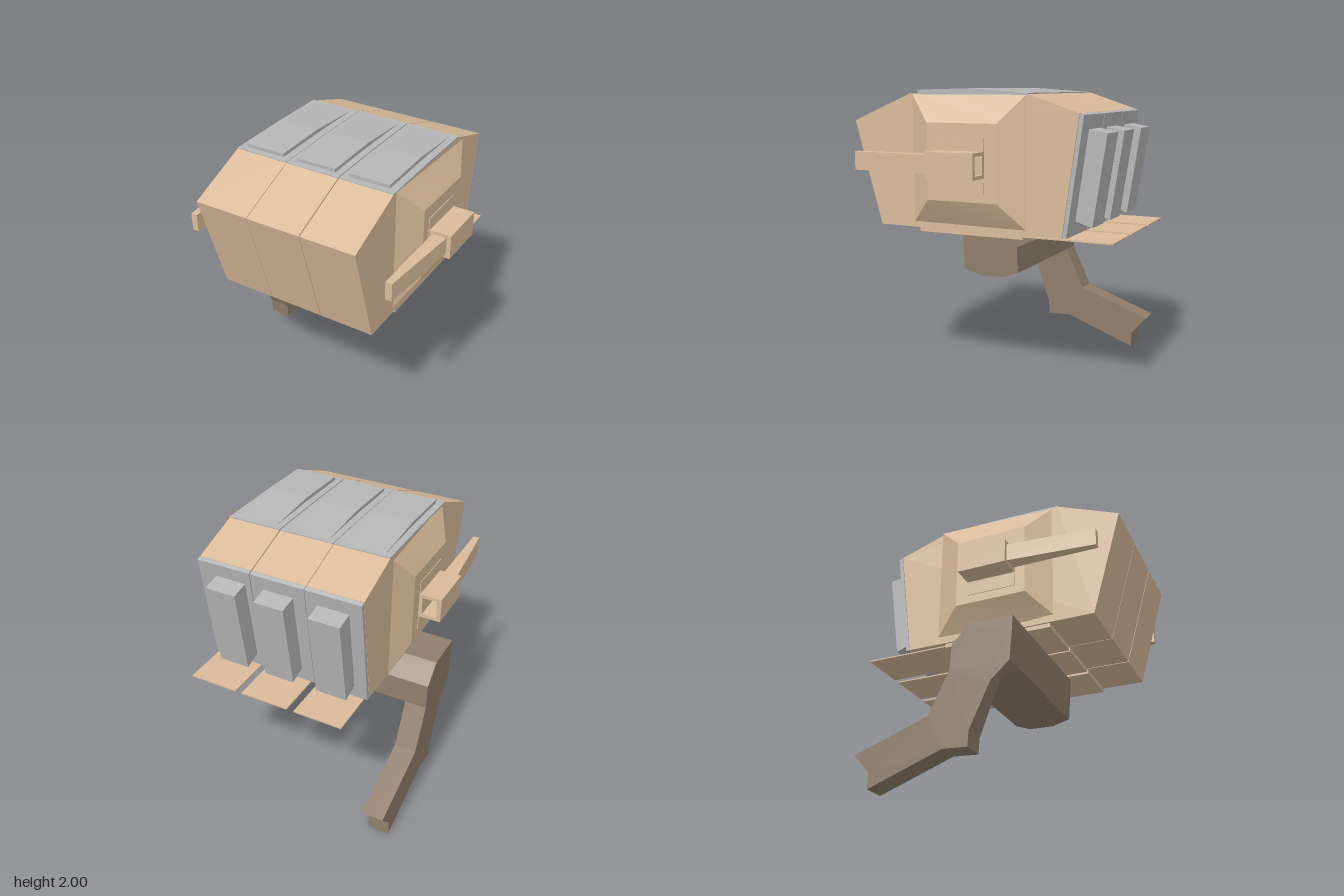
import * as THREE from 'three';

const tan = new THREE.MeshStandardMaterial({ color: 0xd9bb9a });
tan.name = 'tan hull';
const brown = new THREE.MeshStandardMaterial({ color: 0x8f7d6b });
brown.name = 'brown leg';
const grey = new THREE.MeshStandardMaterial({ color: 0xb6b6b6 });
grey.name = 'grey armour';

function add(parent, name, geometry, material) {
  const mesh = new THREE.Mesh(geometry, material);
  mesh.name = name;
  parent.add(mesh);
  return mesh;
}

// Side profile of [z, y] points, extruded from x0 to x1
function sideExtrude(points, x0, x1) {
  const shape = new THREE.Shape(points.map(([z, y]) => new THREE.Vector2(z, y)));
  const g = new THREE.ExtrudeGeometry(shape, { depth: x1 - x0, bevelEnabled: false });
  return g.rotateY(-Math.PI / 2).translate(x1, 0, 0);
}

function boxBetween(x0, x1, y0, y1, z0, z1) {
  return new THREE.BoxGeometry(x1 - x0, y1 - y0, z1 - z0)
    .translate((x0 + x1) / 2, (y0 + y1) / 2, (z0 + z1) / 2);
}

// Box whose corners (-1 or 1 on each axis) are moved by a rule
function shapedBox(rule) {
  const g = new THREE.BoxGeometry(2, 2, 2);
  const p = g.attributes.position;
  for (let i = 0; i < p.count; i++) p.setXYZ(i, ...rule(p.getX(i), p.getY(i), p.getZ(i)));
  g.computeVertexNormals();
  return g;
}

// One of the three hull segments with its armour
function hullSegment(x0, x1, ridge, vent, skid, flap) {
  const group = new THREE.Group();
  group.name = 'hullSegment';
  add(group, 'hull', sideExtrude([
    [0.75, 1.06], [0.95, 1.78], [0.515, 1.96], [-0.37, 1.965], [-0.715, 1.85], [-0.605, 1.06],
  ], x0, x1), tan);
  add(group, 'roofPlate', sideExtrude([
    [0.515, 1.955], [0.515, 1.966], [0.07, 1.974], [-0.37, 1.972], [-0.37, 1.96],
  ], x0, x1), grey);
  add(group, 'roofRidge', sideExtrude([
    [0.47, 1.96], [0.47, 1.99], [0.07, 2.0], [-0.37, 1.97], [-0.37, 1.962],
  ], ...ridge), grey);
  add(group, 'rearPlate', sideExtrude([
    [-0.718, 1.85], [-0.745, 1.84], [-0.635, 1.06], [-0.608, 1.06],
  ], x0, x1), grey);
  add(group, 'rearVent', sideExtrude([
    [-0.72, 1.75], [-0.855, 1.725], [-0.765, 1.12], [-0.64, 1.16],
  ], ...vent), grey);
  add(group, 'bellyPlate', boxBetween(...skid, 1.03, 1.062, -0.33, 0.44), tan);
  add(group, 'rearFlap', boxBetween(...flap, 1.045, 1.055, -0.945, -0.33), tan);
  return group;
}

// Sloped side pod with a hollow gun housing and a tapered barrel
function sidePod(s) {
  const group = new THREE.Group();
  group.name = s > 0 ? 'leftPod' : 'rightPod';
  add(group, 'podCover', shapedBox((x, y, z) => {
    if (x * s > 0) return [s * 0.685, y > 0 ? 1.78 : 1.27, z > 0 ? 0.31 : -0.2];
    return [s * (z > 0 ? 0.575 : 0.605), y > 0 ? 1.96 : 1.1, z > 0 ? 0.48 : -0.37];
  }), tan);
  const inner = s > 0 ? 0.68 : -0.69;
  add(group, 'mountPlate', boxBetween(inner, inner + 0.01, 1.33, 1.69, -0.11, 0.24), tan);

  const rect = (C, w, h) => new C([[-w, -h], [w, -h], [w, h], [-w, h]]
    .map(([x, y]) => new THREE.Vector2(x, y)));
  const frame = rect(THREE.Shape, 0.08, 0.085);
  frame.holes.push(rect(THREE.Path, 0.05, 0.0625));
  add(group, 'gunHousing', new THREE.ExtrudeGeometry(frame, { depth: 0.345, bevelEnabled: false })
    .translate(s * 0.76, 1.517, -0.112), tan);
  add(group, 'gunBarrel', shapedBox((x, y, z) => [
    s * (x * s > 0 ? (z > 0 ? 0.755 : 0.81) : 0.71),
    y > 0 ? 1.5795 : 1.4545,
    z > 0 ? 0.835 : 0.2,
  ]), tan);
  return group;
}

// Crossbeam and the single bent leg
function legAssembly() {
  const group = new THREE.Group();
  group.name = 'leg';
  add(group, 'hipBeam', sideExtrude([
    [0.28, 1.032], [0.272, 0.89], [0.26, 0.72], [0.13, 0.685],
    [-0.05, 0.69], [-0.16, 0.73], [-0.15, 0.91], [-0.02, 1.032],
  ], -0.81, 0.27), brown);

  const shin = sideExtrude([
    [0.26, 0.72], [0.13, 0.6], [-0.01, 0.29], [-0.015, 0.185], [-0.19, 0.195], [-0.71, 0],
    [-0.71, 0.11], [-0.825, 0.24], [-0.3, 0.43], [-0.16, 0.73],
  ], -0.81, -0.655);
  // Raise the inner knee corner to chamfer the joint
  const p = shin.attributes.position;
  for (let i = 0; i < p.count; i++) {
    if (p.getX(i) > -0.7 && Math.abs(p.getY(i) - 0.6) < 0.01) p.setY(i, 0.685);
  }
  shin.computeVertexNormals();
  add(group, 'shinAndFoot', shin, brown);
  return group;
}

export function createModel() {
  const model = new THREE.Group();
  model.name = 'walker';
  model.add(
    hullSegment(-0.582, -0.198, [-0.535, -0.25], [-0.495, -0.28], [-0.57, -0.2], [-0.555, -0.215]),
    hullSegment(-0.194, 0.187, [-0.147, 0.14], [-0.11, 0.1], [-0.185, 0.175], [-0.165, 0.175]),
    hullSegment(0.194, 0.575, [0.24, 0.525], [0.235, 0.45], [0.205, 0.57], [0.22, 0.565]),
    sidePod(1),
    sidePod(-1),
    legAssembly(),
  );
  return model;
}
